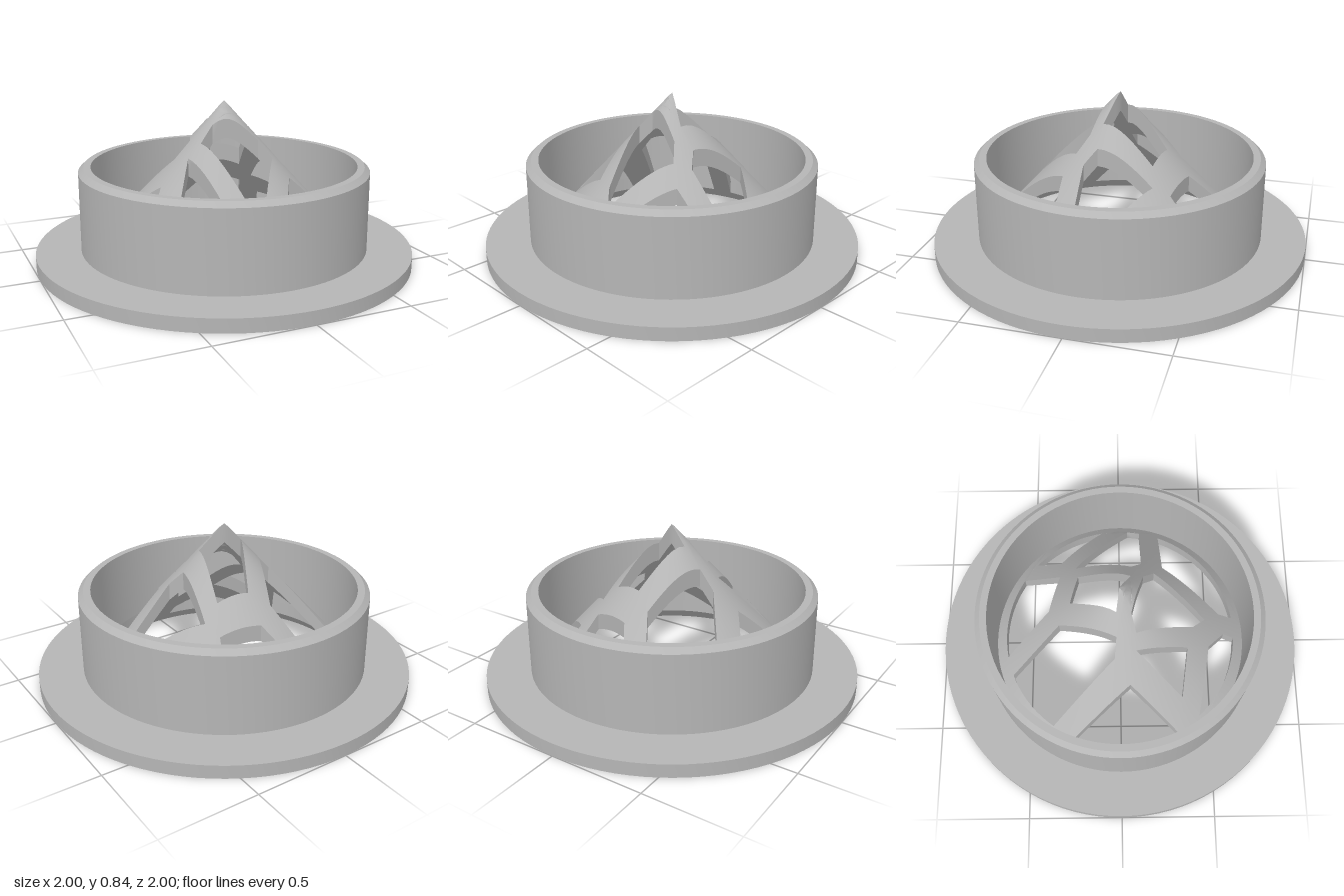
import * as THREE from 'three';
import { toCreasedNormals } from 'three/addons/utils/BufferGeometryUtils.js';

const grey = new THREE.MeshStandardMaterial({ color: 0xb5b5b5 });
grey.name = 'plain grey';

const BORE = 0.7;  // inner radius of the collar
const RIM = 0.64;  // radius where the openings of the cone end

// Heights of the cone's two skins at a given radius
const outerSkin = r => 0.845 - (0.775 / BORE) * r;
const innerSkin = r => 0.74 - (0.74 / BORE) * r;

// Openings seen from above as [x, z]; the first group is closed by an arc of the rim
const rimOpenings = [
  [[-0.13, -0.63], [0.035, -0.38], [0.245, -0.325], [0.335, -0.55]],
  [[0.43, -0.475], [0.36, -0.33], [0.635, -0.1]],
  [[0.637, 0.05], [0.275, -0.24], [0.215, 0.06], [0.265, 0.12], [0.63, 0.12]],
  [[-0.235, -0.595], [-0.065, -0.32], [-0.185, -0.02], [-0.27, -0.03], [-0.52, -0.365]],
  [[-0.59, -0.25], [-0.375, 0.05], [-0.56, 0.305]],
  [[-0.47, 0.425], [-0.13, 0.48], [-0.03, 0.575], [-0.03, 0.635]],
  [[0.09, 0.635], [0.08, 0.55], [0.27, 0.23], [0.6, 0.23]],
];
const innerOpenings = [
  [[0.03, -0.26], [0.19, -0.22], [0.12, 0.055], [0, -0.003], [-0.09, -0.02]],
  [[-0.235, 0.08], [-0.405, 0.33], [-0.17, 0.355]],
  [[-0.165, 0.08], [-0.055, 0.39], [0.01, 0.46], [0.195, 0.18], [0.14, 0.12], [-0.09, 0.055]],
];

// Push the end points onto the rim and join them with an arc
function closeAlongRim(points) {
  const first = points[0], last = points[points.length - 1];
  const a = Math.atan2(last[1], last[0]), b = Math.atan2(first[1], first[0]);
  const turn = Math.atan2(Math.sin(b - a), Math.cos(b - a));
  const n = Math.max(2, Math.ceil(Math.abs(turn) / 0.07));
  const out = points.slice(1, -1);
  for (let i = 0; i <= n; i++) {
    const t = a + (turn * i) / n;
    out.push([RIM * Math.cos(t), RIM * Math.sin(t)]);
  }
  return out;
}

// Extrude the flat web, split long triangles, then bend both faces onto the cone
function coneWebGeometry() {
  const shape = new THREE.Shape();
  shape.absarc(0, 0, BORE, 0, Math.PI * 2, false);
  for (const points of [...rimOpenings.map(closeAlongRim), ...innerOpenings]) {
    shape.holes.push(new THREE.Path(points.map(([x, z]) => new THREE.Vector2(x, -z))));
  }
  let flat = new THREE.ExtrudeGeometry(shape, { depth: 1, bevelEnabled: false, curveSegments: 96 });
  if (flat.index) flat = flat.toNonIndexed();
  const src = flat.attributes.position;
  const positions = [];

  const span = (p, q) => Math.hypot(p.x - q.x, p.y - q.y);
  const emit = p => {
    const r = Math.hypot(p.x, p.y);
    positions.push(p.x, THREE.MathUtils.lerp(innerSkin(r), outerSkin(r), p.z), -p.y);
  };
  const split = (a, b, c) => {
    const ab = span(a, b), bc = span(b, c), ca = span(c, a);
    const longest = Math.max(ab, bc, ca);
    if (longest <= 0.04) return [a, b, c].forEach(emit);
    if (bc === longest) return split(b, c, a);
    if (ca === longest && ab !== longest) return split(c, a, b);
    const m = a.clone().add(b).multiplyScalar(0.5);
    split(a, m, c);
    split(m, b, c);
  };
  const corner = i => new THREE.Vector3().fromBufferAttribute(src, i);
  for (let i = 0; i < src.count; i += 3) split(corner(i), corner(i + 1), corner(i + 2));

  const geometry = new THREE.BufferGeometry();
  geometry.setAttribute('position', new THREE.Float32BufferAttribute(positions, 3));
  return toCreasedNormals(geometry, 0.5);
}

// Flange and chamfered collar as one turned profile
function collarGeometry() {
  const profile = [
    [BORE, 0], [1, 0], [1, 0.07], [0.765, 0.07], [0.765, 0.487],
    [0.737, 0.512], [BORE, 0.512], [BORE, 0.07],
  ].map(([r, y]) => new THREE.Vector2(r, y));
  return toCreasedNormals(new THREE.LatheGeometry(profile, 96), 0.5);
}

export function createModel() {
  const model = new THREE.Group();
  model.name = 'coneStrainer';
  const add = (name, geometry) => {
    const mesh = new THREE.Mesh(geometry, grey);
    mesh.name = name;
    model.add(mesh);
  };
  add('flangedCollar', collarGeometry());
  add('openCone', coneWebGeometry());
  return model;
}
